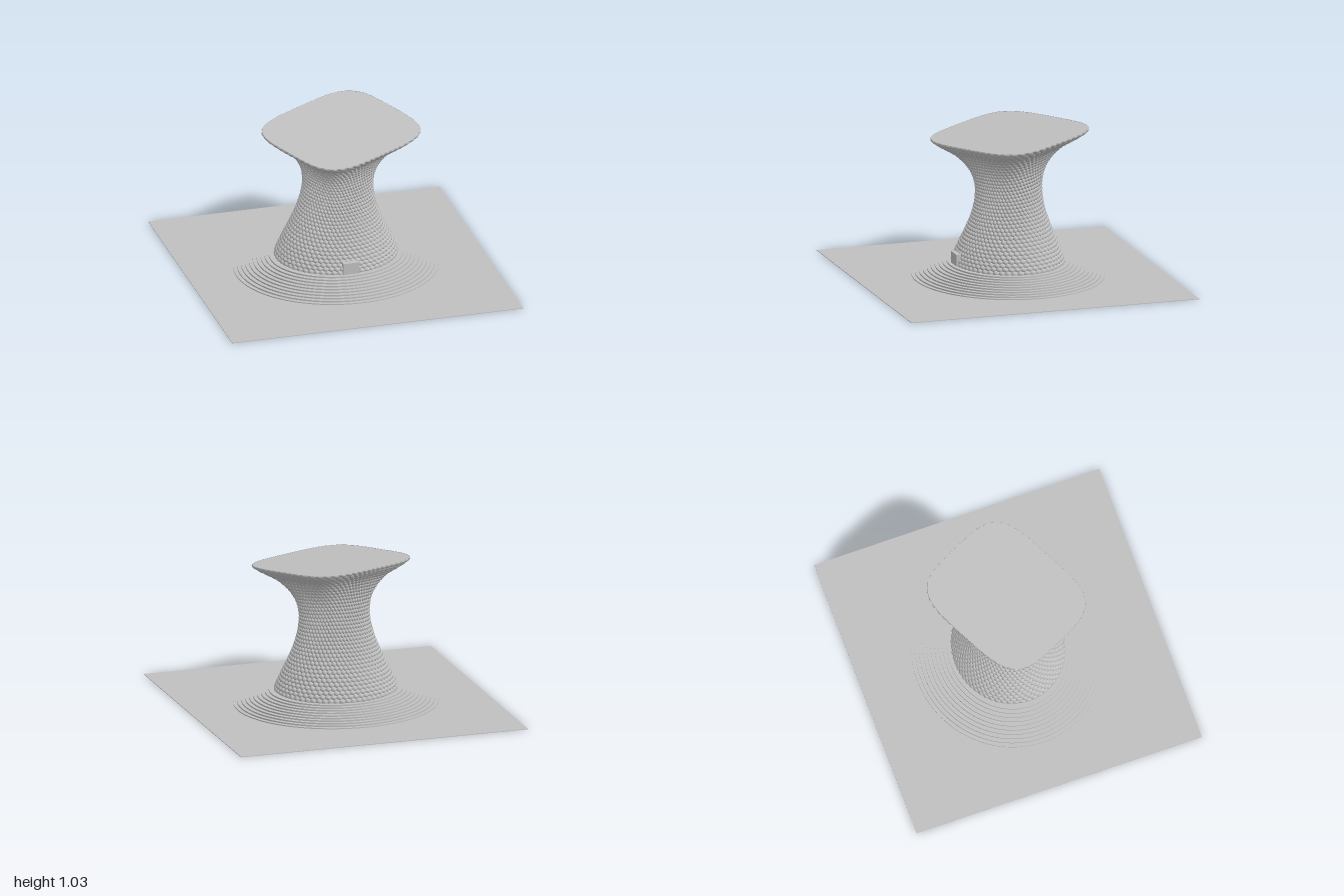
import * as THREE from 'three';

const COLS = 60, ROWS = 36, BASE_Y = 0.1;

// Radius of the tower at even steps from its foot to its rim
const profile = new THREE.SplineCurve(
  [0.41, 0.365, 0.312, 0.267, 0.238, 0.231, 0.262, 0.352, 0.515]
    .map((r, i) => new THREE.Vector2(i / 8, r)));

// Point on the tower: an ellipse at the foot turns into a rotated, tilted rounded square
function towerPoint(u, t) {
  const a = u * Math.PI * 2, c = Math.cos(a), s = Math.sin(a);
  const foot = 1 / Math.hypot(c, s / 0.9);
  const p = (c * 0.89 - s * 0.455) / 0.47, q = (c * 0.455 + s * 0.89) / 0.408;
  const rim = Math.pow(p ** 4 + q ** 4, -0.25);
  const w = THREE.MathUtils.smoothstep(t, 0.35, 1);
  const r = profile.getPoint(t).y * THREE.MathUtils.lerp(foot, rim / 0.515, w);
  const topY = 0.975 - 0.1 * rim * s;
  return new THREE.Vector3(r * c + 0.035 * t * t, BASE_Y + t * (topY - BASE_Y), r * s);
}

function towerNormal(u, t) {
  const e = 0.004, t0 = Math.max(0, t - e), t1 = Math.min(1, t + e);
  const du = towerPoint(u + e, t).sub(towerPoint(u - e, t));
  const dv = towerPoint(u, t1).sub(towerPoint(u, t0));
  return dv.cross(du).normalize();
}

function makeGeometry(positions, index) {
  const g = new THREE.BufferGeometry();
  g.setAttribute('position', new THREE.Float32BufferAttribute(positions, 3));
  g.setIndex(index);
  g.computeVertexNormals();
  return g;
}

// Staggered hexagonal scales, each a small dome of three rings and a centre
function scaleSkin() {
  const hex = [[0, 2 / 3], [-0.5, 1 / 3], [-0.5, -1 / 3], [0, -2 / 3], [0.5, -1 / 3], [0.5, 1 / 3]];
  const rings = [[1, -0.004], [0.78, 0.002], [0.42, 0.006]];
  const positions = [], index = [];
  for (let row = 0; row < ROWS; row++) {
    for (let col = 0; col < COLS; col++) {
      const cu = (col + (row % 2) * 0.5) / COLS, cv = row + 0.5;
      const n = towerNormal(cu, cv / ROWS);
      const start = positions.length / 3;
      const add = (du, dv, lift) => {
        // The first and last rows end on a straight line
        if (row === 0 && dv < 0) dv = Math.sign(dv) * Math.max(0.5 * Math.abs(dv) / (1 / 3), 0);
        if (row === ROWS - 1 && dv > 0) dv = 0.5 * dv / (1 / 3);
        const t = THREE.MathUtils.clamp((cv + dv) / ROWS, 0, 1);
        const p = towerPoint(cu + du / COLS, t).addScaledVector(n, lift);
        positions.push(p.x, p.y, p.z);
      };
      for (const [k, lift] of rings) for (const [du, dv] of hex) add(du * k, dv * k, lift);
      add(0, 0, 0.007);
      for (let i = 0; i < 6; i++) {
        const j = (i + 1) % 6;
        for (let r = 0; r < 2; r++) {
          const a = start + r * 6 + i, b = start + r * 6 + j;
          index.push(a, b + 6, b, a, a + 6, b + 6);
        }
        index.push(start + 12 + i, start + 18, start + 12 + j);
      }
    }
  }
  return makeGeometry(positions, index);
}

// Sloping roof that closes the rim
function roofPlate() {
  const n = 96, positions = [0.035, 0.975, 0], index = [];
  for (let i = 0; i < n; i++) {
    const p = towerPoint(i / n, 1);
    positions.push(p.x, p.y, p.z);
    index.push(0, 1 + (i + 1) % n, 1 + i);
  }
  return makeGeometry(positions, index);
}

export function createModel() {
  const model = new THREE.Group();
  const grey = new THREE.MeshStandardMaterial({ color: 0xc0c0c0 });
  grey.name = 'pale grey';
  grey.side = THREE.DoubleSide;

  const add = (name, geometry, x = 0, y = 0, z = 0) => {
    const mesh = new THREE.Mesh(geometry, grey);
    mesh.name = name;
    mesh.position.set(x, y, z);
    model.add(mesh);
    return mesh;
  };

  add('groundPlate', new THREE.BoxGeometry(2, 0.004, 2), 0, 0.002, 0);

  // Oval terrace of ten shallow steps
  const terrace = new THREE.Group();
  terrace.name = 'terrace';
  model.add(terrace);
  for (let i = 0; i < 10; i++) {
    const step = add('terraceStep', new THREE.CylinderGeometry(1, 1, 0.01, 96), 0, 0.006 + i * 0.01, 0);
    step.scale.set(0.683 - i * 0.026, 1, 0.635 - i * 0.026);
    terrace.add(step);
  }

  add('towerSkin', scaleSkin());
  add('roof', roofPlate());
  add('entrance', new THREE.BoxGeometry(0.11, 0.08, 0.1), -0.002, 0.14, 0.326);
  return model;
}
